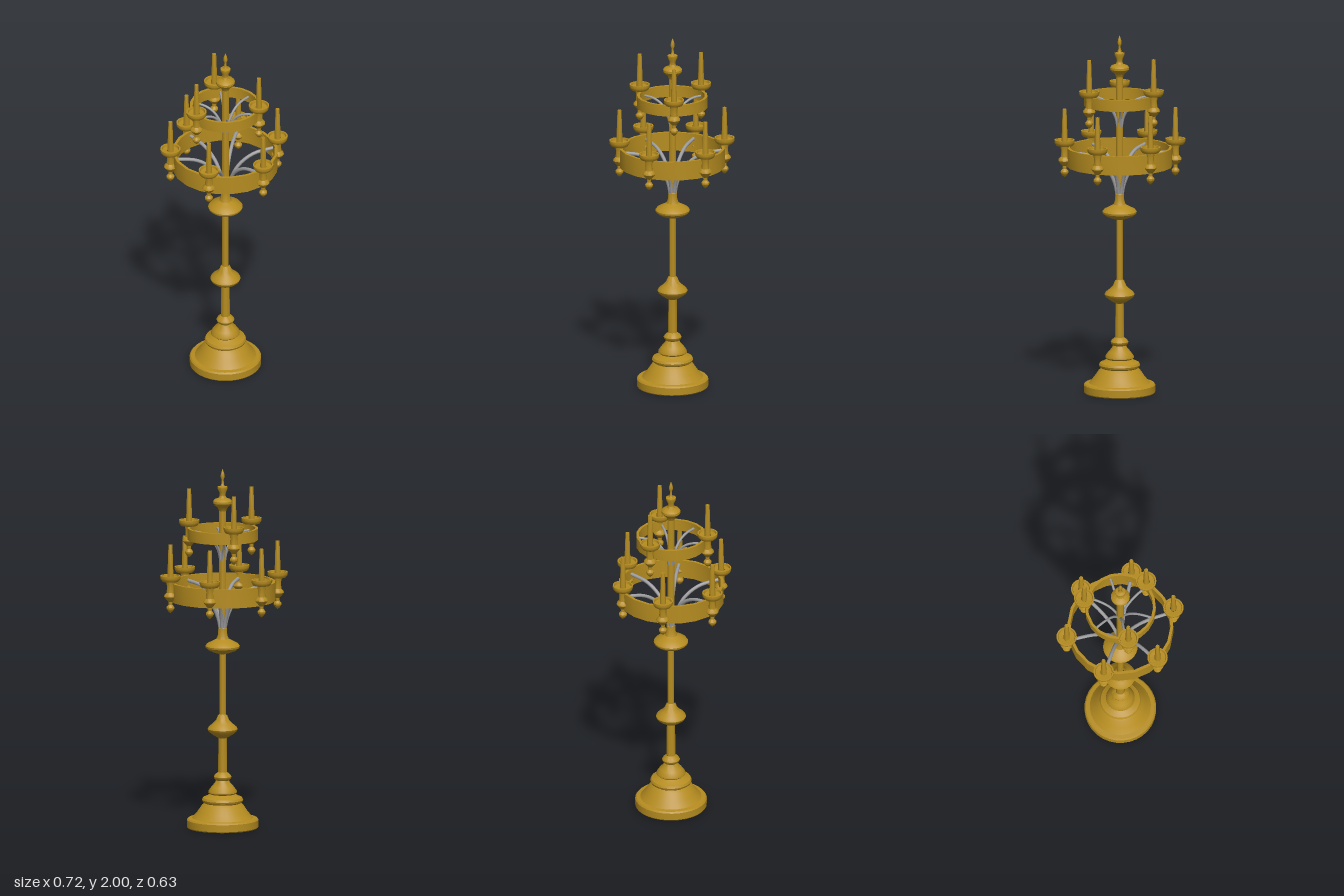
import * as THREE from 'three';
import { toCreasedNormals } from 'three/addons/utils/BufferGeometryUtils.js';

const gold = new THREE.MeshStandardMaterial({ color: 0xb58c20 });
gold.name = 'gold';
const steel = new THREE.MeshStandardMaterial({ color: 0x9c9c9e });
steel.name = 'steel';

// Turned part from [radius, height] pairs, bottom to top
function turned(profile, sides, crease = 0.6) {
  const points = profile.map(([r, y]) => new THREE.Vector2(r, y));
  return toCreasedNormals(new THREE.LatheGeometry(points, sides), crease);
}

function addMesh(parent, name, geometry, material) {
  const mesh = new THREE.Mesh(geometry, material);
  mesh.name = name;
  parent.add(mesh);
  return mesh;
}

// Flat hoop with a rectangular section
function hoop(outer, inner, bottom, top) {
  return turned([[outer, bottom], [outer, top], [inner, top], [inner, bottom], [outer, bottom]], 20);
}

// Curved support in the x-y plane, swept outward from the pole
function armGeometry(path, radius) {
  const curve = new THREE.CatmullRomCurve3(path.map(([x, y]) => new THREE.Vector3(x, y, 0)));
  return new THREE.TubeGeometry(curve, 16, radius, 8);
}

function addArms(parent, name, geometry, ends) {
  for (const [x, z] of ends) addMesh(parent, name, geometry, steel).rotation.y = Math.atan2(-z, x);
}

export function createModel() {
  const model = new THREE.Group();
  model.name = 'candelabrum';

  // Stepped foot
  addMesh(model, 'foot', turned([
    [0, 0], [0.192, 0], [0.197, 0.006], [0.197, 0.045], [0.19, 0.053], [0.168, 0.056],
    [0.14, 0.088], [0.115, 0.125], [0.1, 0.138], [0.11, 0.145], [0.114, 0.156], [0.108, 0.168],
    [0.085, 0.178], [0.07, 0.188], [0.079, 0.196], [0.078, 0.206], [0.062, 0.228],
    [0.043, 0.25], [0.036, 0.264], [0.046, 0.273], [0.049, 0.284], [0.042, 0.296], [0.025, 0.31],
  ], 32), gold);

  // Lower stem with its knop
  addMesh(model, 'lowerStem', turned([
    [0.025, 0.31], [0.023, 0.5], [0.036, 0.507], [0.06, 0.522], [0.078, 0.537], [0.083, 0.55],
    [0.076, 0.563], [0.055, 0.58], [0.036, 0.6], [0.026, 0.625], [0.019, 0.632],
  ], 28), gold);

  // Upper stem with the wide knop and collar
  addMesh(model, 'upperStem', turned([
    [0.018, 0.63], [0.018, 0.968], [0.04, 0.974], [0.075, 0.988], [0.093, 1.003], [0.095, 1.013],
    [0.085, 1.026], [0.058, 1.04], [0.034, 1.053], [0.026, 1.075], [0.024, 1.11], [0.02, 1.115],
    [0.02, 1.765],
  ], 28), gold);

  // Finial: disc, vase and spike
  addMesh(model, 'finial', turned([
    [0.02, 1.765], [0.028, 1.785], [0.044, 1.797], [0.052, 1.808], [0.052, 1.82], [0.044, 1.83],
    [0.022, 1.838], [0.016, 1.85], [0.018, 1.868], [0.028, 1.89], [0.028, 1.9], [0.012, 1.904],
    [0.007, 1.915], [0.006, 1.94], [0.012, 1.955], [0.009, 1.975], [0, 2],
  ], 24), gold);

  // Candle holder, origin at the cup rim
  const holder = turned([
    [0, -0.21], [0.012, -0.2], [0.022, -0.185], [0.022, -0.176], [0.011, -0.162], [0.012, -0.146],
    [0.026, -0.13], [0.035, -0.117], [0.033, -0.108], [0.021, -0.095], [0.019, -0.06],
    [0.024, -0.036], [0.045, -0.032], [0.053, -0.022], [0.056, -0.012], [0.056, 0],
    [0.048, 0], [0.045, -0.012], [0.018, -0.014],
  ], 24);
  const candle = turned([
    [0.017, -0.016], [0.015, 0.06], [0.011, 0.172], [0.006, 0.172], [0.005, 0.168], [0, 0.168],
  ], 14);

  const tiers = [
    {
      name: 'lower', rim: 1.418, band: [0.291, 0.275, 1.268, 1.373],
      path: [[0.012, 1.1], [0.026, 1.17], [0.075, 1.265], [0.16, 1.325], [0.28, 1.345]], thickness: 0.01,
      holders: [[0.303, 0], [0.14, 0.257], [-0.168, 0.257], [-0.308, 0.004], [-0.155, -0.243], [0.138, -0.264]],
    },
    {
      name: 'upper', rim: 1.705, band: [0.195, 0.18, 1.606, 1.67],
      path: [[0.012, 1.48], [0.025, 1.54], [0.068, 1.605], [0.12, 1.633], [0.182, 1.64]], thickness: 0.007,
      holders: [[0.173, -0.09], [-0.182, -0.087], [-0.013, 0.206]],
      arms: [[0.165, -0.077], [-0.006, -0.17], [-0.14, -0.095], [-0.15, 0.073], [-0.02, 0.16], [0.142, 0.097]],
    },
  ];

  // Two tiers of hoop, arms, holders and candles
  for (const t of tiers) {
    const tier = new THREE.Group();
    tier.name = t.name + 'Tier';
    addMesh(tier, t.name + 'Hoop', hoop(...t.band), gold).position.z = 0.002;
    addArms(tier, t.name + 'Arm', armGeometry(t.path, t.thickness), t.arms ?? t.holders);
    for (const [x, z] of t.holders) {
      const light = new THREE.Group();
      light.name = t.name + 'CandleHolder';
      light.position.set(x, t.rim, z);
      addMesh(light, 'holder', holder, gold);
      addMesh(light, 'candle', candle, gold);
      tier.add(light);
    }
    model.add(tier);
  }
  return model;
}
